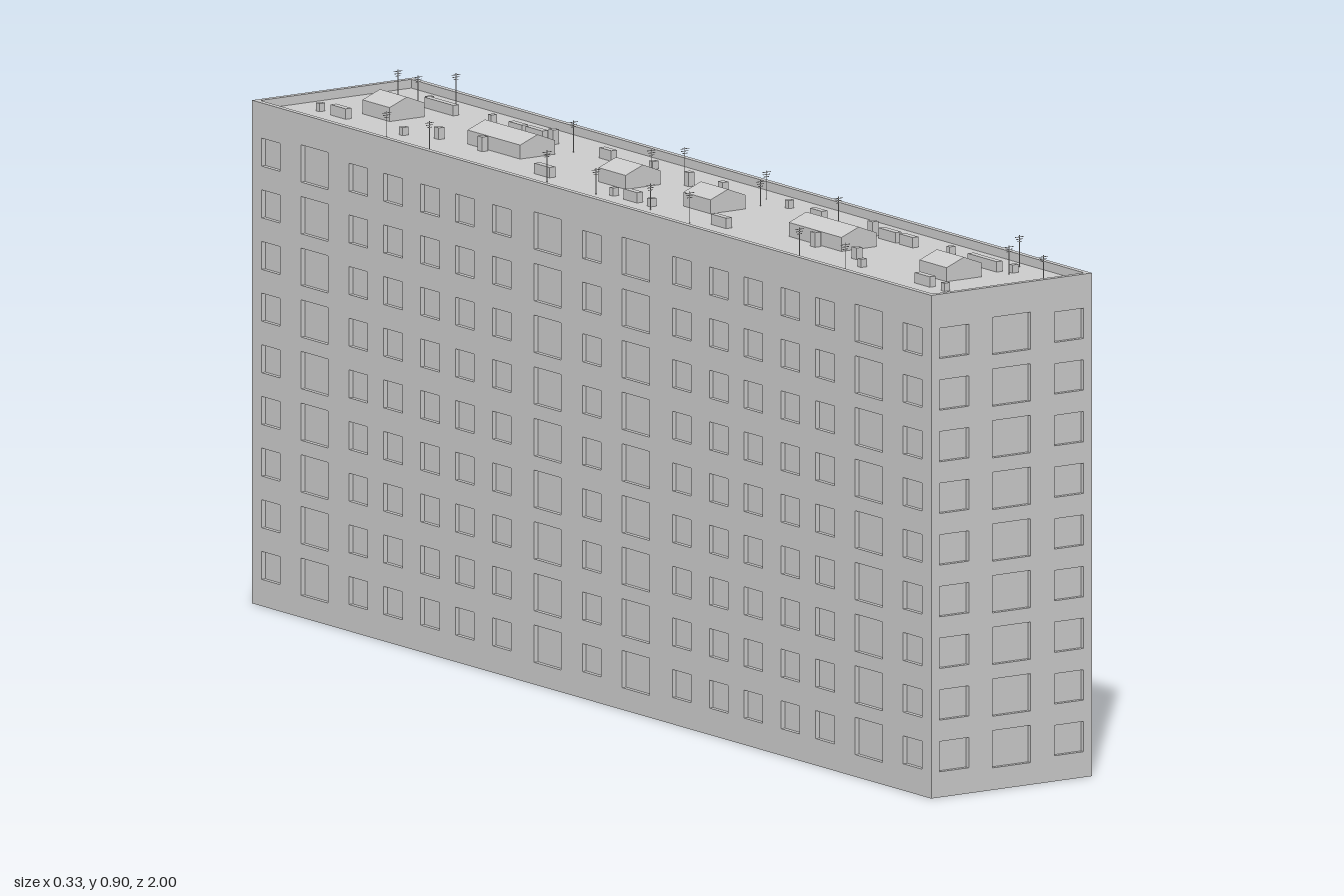
import * as THREE from 'three';
import { mergeGeometries } from 'three/addons/utils/BufferGeometryUtils.js';

const W = 0.33, L = 2, H = 0.865, T = 0.01, ROOF = 0.85;
const mat = new THREE.MeshStandardMaterial({ color: 0xcccccc, flatShading: true, side: THREE.DoubleSide });

function add(parent, name, geometry) {
  const mesh = new THREE.Mesh(geometry, mat);
  mesh.name = name;
  parent.add(mesh);
  return mesh;
}

function box(w, h, d, x, y, z) {
  return new THREE.BoxGeometry(w, h, d).translate(x, y, z);
}

// Wall slab facing +z with nine rows of window openings and a recessed pane layer
function makeWall(name, length, columns) {
  const wall = new THREE.Group();
  wall.name = name;
  const rect = (P, cx, cy, w, h) => {
    const p = new P();
    p.moveTo(cx - w / 2, cy - h / 2);
    p.lineTo(cx + w / 2, cy - h / 2);
    p.lineTo(cx + w / 2, cy + h / 2);
    p.lineTo(cx - w / 2, cy + h / 2);
    p.closePath();
    return p;
  };
  const shape = rect(THREE.Shape, 0, H / 2, length, H);
  for (const [x, w, h] of columns)
    for (let row = 0; row < 9; row++)
      shape.holes.push(rect(THREE.Path, x, 0.07 + row * 0.0888, w, h));
  add(wall, 'wallSlab', new THREE.ExtrudeGeometry(shape, { depth: T, bevelEnabled: false }).translate(0, 0, -T));
  add(wall, 'windowPanes', new THREE.PlaneGeometry(length - 0.004, ROOF).translate(0, ROOF / 2, -T * 0.8));
  return wall;
}

export function createModel() {
  const model = new THREE.Group();
  model.name = 'apartmentBlock';

  // Long facades: wide windows mark the stairwells
  const longColumns = [[0, 0.055, 0.048]];
  for (const [z, wide] of [[0.13, 1], [0.265, 0], [0.374, 0], [0.476, 0], [0.585, 0], [0.687, 0], [0.816, 1], [0.945, 0]])
    for (const s of [-1, 1])
      longColumns.push(wide ? [s * z, 0.08, 0.064] : [s * z, 0.055, 0.048]);
  const endColumns = [[-0.118, 0.06, 0.052], [0, 0.078, 0.064], [0.118, 0.06, 0.052]];

  for (const s of [-1, 1]) {
    const side = makeWall(s > 0 ? 'leftFacade' : 'rightFacade', L, longColumns);
    side.rotation.y = s * Math.PI / 2;
    side.position.x = s * W / 2;
    model.add(side);
    const end = makeWall(s > 0 ? 'frontWall' : 'backWall', W - 2 * T, endColumns);
    end.rotation.y = s > 0 ? 0 : Math.PI;
    end.position.z = s * L / 2;
    model.add(end);
  }

  // Flat roof sunk behind the parapet
  add(model, 'roofDeck', new THREE.PlaneGeometry(W - 2 * T, L - 2 * T).rotateX(-Math.PI / 2).translate(0, ROOF, 0));

  // Gabled stair and lift houses
  const gable = new THREE.Shape([[-0.036, 0], [0.036, 0], [0.036, 0.024], [0, 0.038], [-0.036, 0.024]]
    .map(([x, y]) => new THREE.Vector2(x, y)));
  for (const [z, d] of [[0.125, 0.08], [0.473, 0.155], [0.82, 0.08]])
    for (const s of [-1, 1])
      add(model, 'roofHouse', new THREE.ExtrudeGeometry(gable, { depth: d, bevelEnabled: false })
        .translate(0, ROOF, s * z - d / 2));

  // Chimneys and vents: x, z, length, height, mirrored front to back
  const vents = [
    [-0.08, 0.86, 0.045, 0.018], [-0.08, 0.26, 0.045, 0.018], [-0.08, 0.92, 0.01, 0.014], [-0.08, 0.675, 0.01, 0.014],
    [-0.08, 0.055, 0.01, 0.014], [-0.049, 0.615, 0.014, 0.02], [-0.047, 0.49, 0.014, 0.025],
    [0.085, 0.8, 0.085, 0.018], [0.085, 0.575, 0.04, 0.018], [0.085, 0.52, 0.05, 0.018], [0.085, 0.47, 0.014, 0.025],
    [0.085, 0.31, 0.035, 0.018], [0.07, 0.05, 0.014, 0.024], [0.102, 0.675, 0.01, 0.014],
    [0.102, 0.2, 0.01, 0.014], [0.102, 0.86, 0.01, 0.014]];
  const ventParts = [box(0.012, 0.018, 0.04, -0.08, ROOF + 0.009, 0)];
  for (const [x, z, d, h] of vents)
    for (const s of [-1, 1]) ventParts.push(box(0.012, h, d, x, ROOF + h / 2, s * z));
  add(model, 'chimneysAndVents', mergeGeometries(ventParts));

  // Thin aerial masts with crossbars
  const masts = [[-0.115, 0.675], [-0.118, 0.545], [-0.11, 0.21], [-0.1, 0.08], [0.085, 0.87], [0.135, 0.83],
    [0.07, 0.16], [0.11, 0.12], [0.07, 0.39], [0.1, 0.95]];
  const mastParts = [];
  masts.forEach(([x, z], i) => {
    const h = 0.045 + (i % 3) * 0.005;
    for (const s of [-1, 1]) {
      mastParts.push(box(0.001, h, 0.001, x, ROOF + h / 2, s * z));
      for (let k = 0; k < 3; k++)
        mastParts.push(box(0.018 - k * 0.004, 0.001, 0.001, x, ROOF + h - 0.003 - k * 0.004, s * z));
    }
  });
  add(model, 'aerials', mergeGeometries(mastParts));

  return model;
}
